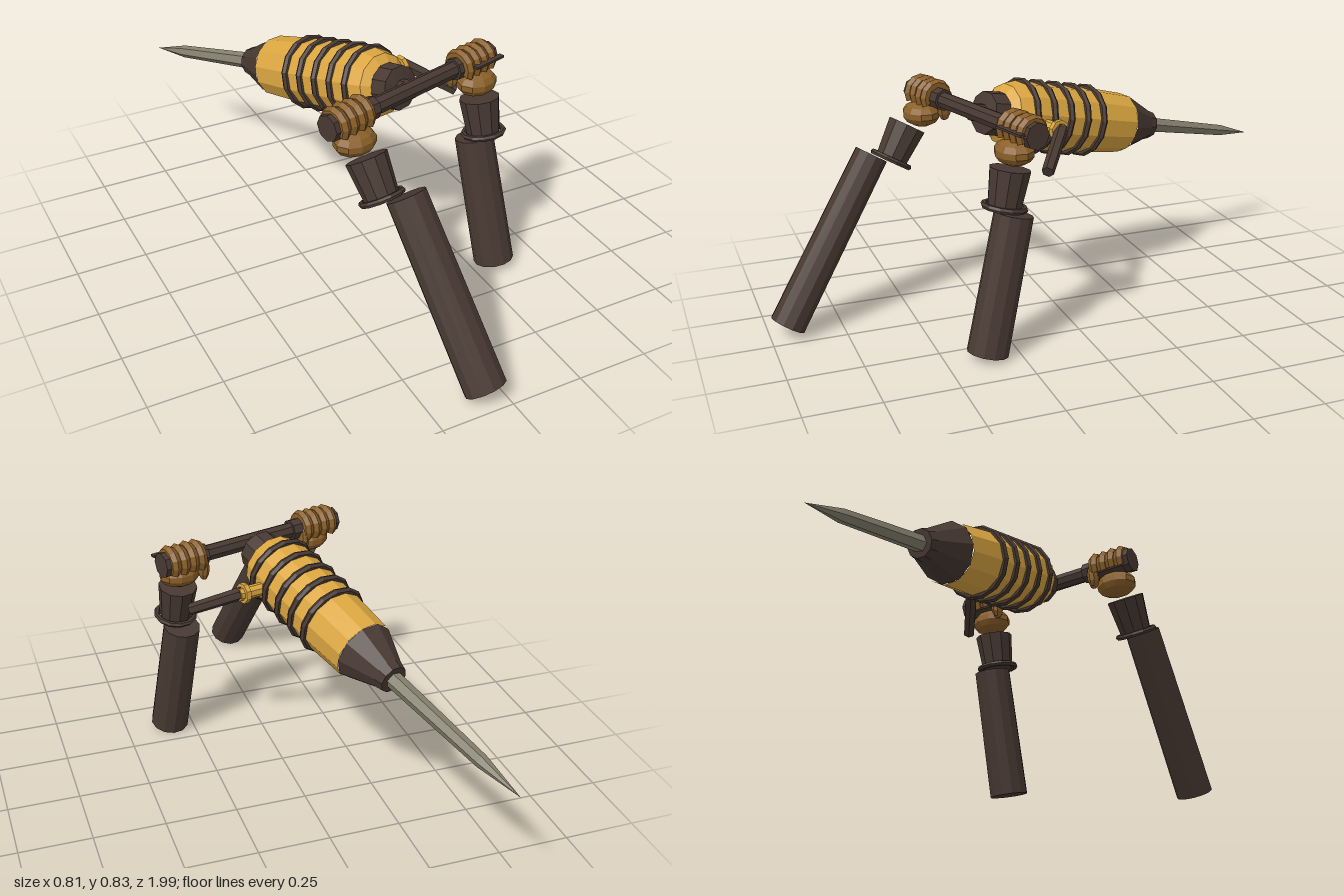
import * as THREE from 'three';

const mat = (name, color) => {
  const m = new THREE.MeshStandardMaterial({ color });
  m.name = name;
  return m;
};
const V = (x, y, z) => new THREE.Vector3(x, y, z);

// faceted normals for the low-poly look
function faceted(geo) {
  const g = geo.index ? geo.toNonIndexed() : geo;
  g.computeVertexNormals();
  return g;
}

export function createModel() {
  const dark = mat('dark brown', 0x483932);
  const yellow = mat('machine yellow', 0xdba641);
  const skin = mat('glove brown', 0x8b6029);
  const steel = mat('steel', 0x85816f);
  const model = new THREE.Group();

  const add = (parent, name, geo, material, pos) => {
    const m = new THREE.Mesh(faceted(geo), material);
    m.name = name;
    if (pos) m.position.copy(pos);
    parent.add(m);
    return m;
  };
  // turns an object so that its y axis runs from a to b
  const aim = (obj, a, b) => {
    obj.position.copy(a);
    obj.quaternion.setFromUnitVectors(V(0, 1, 0), b.clone().sub(a).normalize());
    return obj;
  };
  // tapered rod from a (radius ra) to b (radius rb)
  const rod = (name, a, b, ra, rb, sides, material, depth = 1) => {
    const len = a.distanceTo(b);
    const g = new THREE.CylinderGeometry(rb, ra, len, sides).translate(0, len / 2, 0).scale(1, 1, depth);
    return aim(add(model, name, g, material), a, b);
  };
  const lathe = (pts, sides) => new THREE.LatheGeometry(pts.map(p => new THREE.Vector2(...p)), sides);
  const ring = (r, tube, sides) => new THREE.TorusGeometry(r, tube, 6, sides).rotateX(Math.PI / 2);

  // tool axis, addressed by its z coordinate
  const P = z => V(-0.17 + 0.31 * (z + 0.32), 0.595 + 0.25 * (z + 0.313), z);
  const L = z => (z + 0.47) * 1.076;
  const tool = new THREE.Group();
  tool.name = 'drillBody';
  aim(tool, P(-0.47), P(0.3));
  model.add(tool);

  add(tool, 'noseCone', lathe([[0, 0], [0.05, 0], [0.057, 0.03], [0.108, L(-0.325)]], 10), dark);
  add(tool, 'casing', lathe([
    [0.108, L(-0.325)], [0.116, L(-0.18)], [0.118, L(0.13)], [0.105, L(0.175)], [0.076, L(0.195)],
  ], 12), yellow);
  add(tool, 'rearCap', lathe([
    [0.076, L(0.19)], [0.074, L(0.25)], [0.03, L(0.257)], [0.03, L(0.3)], [0, L(0.3)],
  ], 10), dark);
  for (let i = 0; i < 5; i++) {
    add(tool, 'coolingRing', ring(0.118, 0.013, 14), dark, V(0, L(-0.16 + 0.07 * i), 0));
  }

  // chisel
  const tip = V(-0.402, 0.415, -1), root = P(-0.45);
  const len = tip.distanceTo(root);
  aim(add(model, 'chisel', lathe([[0, 0], [0.023, 0.17], [0.03, len]], 6), steel), tip, root);

  // side port and its dark lever
  rod('sidePort', V(-0.03, 0.68, 0.07), V(0.15, 0.685, 0.02), 0.023, 0.023, 8, yellow);
  rod('portFlange', V(0.12, 0.684, 0.03), V(0.137, 0.685, 0.025), 0.036, 0.036, 8, yellow);
  rod('sideLever', V(0.135, 0.69, 0.02), V(0.29, 0.6, 0.13), 0.023, 0.021, 6, dark);

  // handlebar; local x runs along the bar, local z faces forward
  const bar = new THREE.Group();
  bar.name = 'handlebar';
  bar.position.set(0.0225, 0.75, 0.295);
  bar.rotation.y = 0.281;
  model.add(bar);
  const barPart = (name, x0, x1, r) => add(bar, name,
    new THREE.CylinderGeometry(r, r, x1 - x0, 8).rotateZ(Math.PI / 2), dark, V((x0 + x1) / 2, 0, 0));
  barPart('crossbar', -0.34, 0.34, 0.029);

  for (const side of [-1, 1]) {
    const mid = side * 0.278;
    barPart('grip', side < 0 ? -0.34 : 0.19, side < 0 ? -0.17 : 0.34, 0.038);
    barPart('gripCap', side * 0.351 - 0.014, side * 0.351 + 0.014, 0.045);
    // fingers curl from behind, over the top and down the front
    const hand = new THREE.Group();
    hand.name = side < 0 ? 'rightHand' : 'leftHand';
    hand.position.x = mid;
    bar.add(hand);
    for (let i = 0; i < 4; i++) {
      const curl = new THREE.TorusGeometry(0.043, 0.019, 6, 8, Math.PI * 1.35)
        .rotateZ(-Math.PI * 0.2).rotateY(Math.PI / 2);
      add(hand, 'finger', curl, skin, V((i - 1.5) * 0.035, 0.002 * (i % 2), 0));
    }
    add(hand, 'palm', new THREE.SphereGeometry(1, 10, 7).scale(0.076, 0.045, 0.062), skin, V(0, -0.064, 0.03));
    add(hand, 'thumb', new THREE.SphereGeometry(1, 8, 6).scale(0.02, 0.05, 0.028), skin,
      V(-side * 0.065, -0.035, -0.025));
  }
  // throttle strip on the left grip
  add(bar, 'throttle', new THREE.BoxGeometry(0.13, 0.008, 0.02), dark, V(0.3, 0.013, 0.06));

  // sleeves: cuff, loose band and forearm
  const cuff = (name, top, bottom) => {
    rod(name, bottom, top, 0.056, 0.069, 10, dark);
    aim(add(model, name + 'Band', ring(0.068, 0.01, 12), dark), bottom.clone().lerp(top, 0.04), top);
  };
  cuff('rightCuff', V(-0.225, 0.652, 0.455), V(-0.205, 0.535, 0.525));
  cuff('leftCuff', V(0.302, 0.633, 0.262), V(0.31, 0.505, 0.287));
  rod('rightForearm', V(-0.065, 0.042, 0.94), V(-0.165, 0.58, 0.6), 0.071, 0.067, 12, dark, 0.87);
  rod('leftForearm', V(0.335, 0.018, 0.36), V(0.297, 0.477, 0.25), 0.07, 0.066, 12, dark);

  return model;
}
